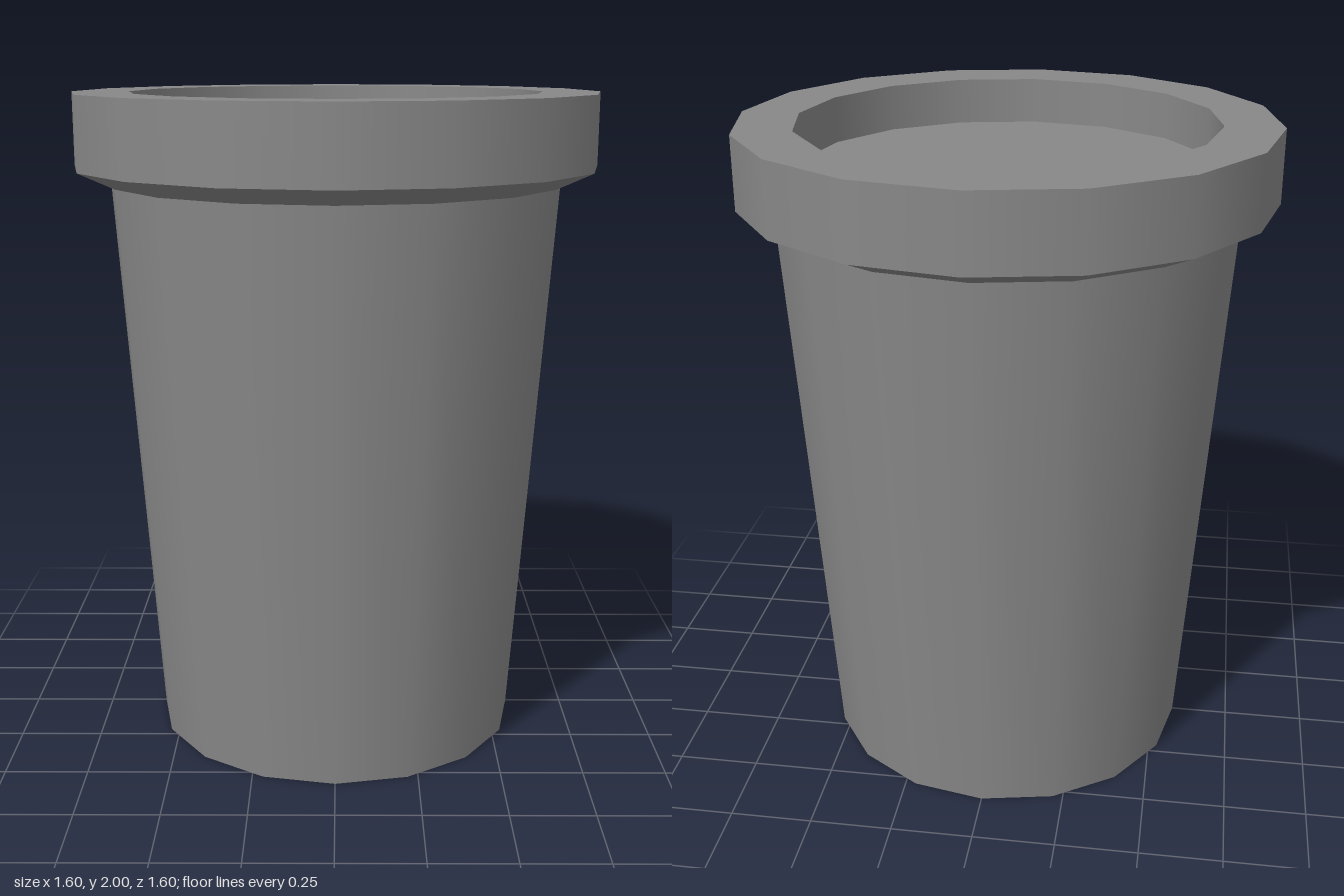
import * as THREE from 'three';
import { mergeGeometries } from 'three/addons/utils/BufferGeometryUtils.js';

const SIDES = 16;

// Revolves each step of a [radius, height] profile as its own band,
// so shading is smooth around the cup but sharp between bands.
function turned(name, profile, material) {
  const bands = [];
  for (let i = 0; i < profile.length - 1; i++) {
    const points = [profile[i], profile[i + 1]].map(([r, y]) => new THREE.Vector2(r, y));
    const band = new THREE.LatheGeometry(points, SIDES);
    band.normalizeNormals(); // even shading across short bands
    bands.push(band);
  }
  const mesh = new THREE.Mesh(mergeGeometries(bands), material);
  mesh.name = name;
  return mesh;
}

export function createModel() {
  const group = new THREE.Group();
  group.name = 'cup';
  const material = new THREE.MeshStandardMaterial({ color: 0x888888 });

  // Closed base and tapered wall
  group.add(turned('cupBody', [[0, 0], [0.57, 0], [0.69, 1.73]], material));

  // Sloped underside, upright band, flat lip and sunken centre
  group.add(turned('lid', [
    [0.69, 1.73], [0.8, 1.78], [0.8, 2], [0.625, 2], [0.625, 1.86], [0, 1.86],
  ], material));

  return group;
}
